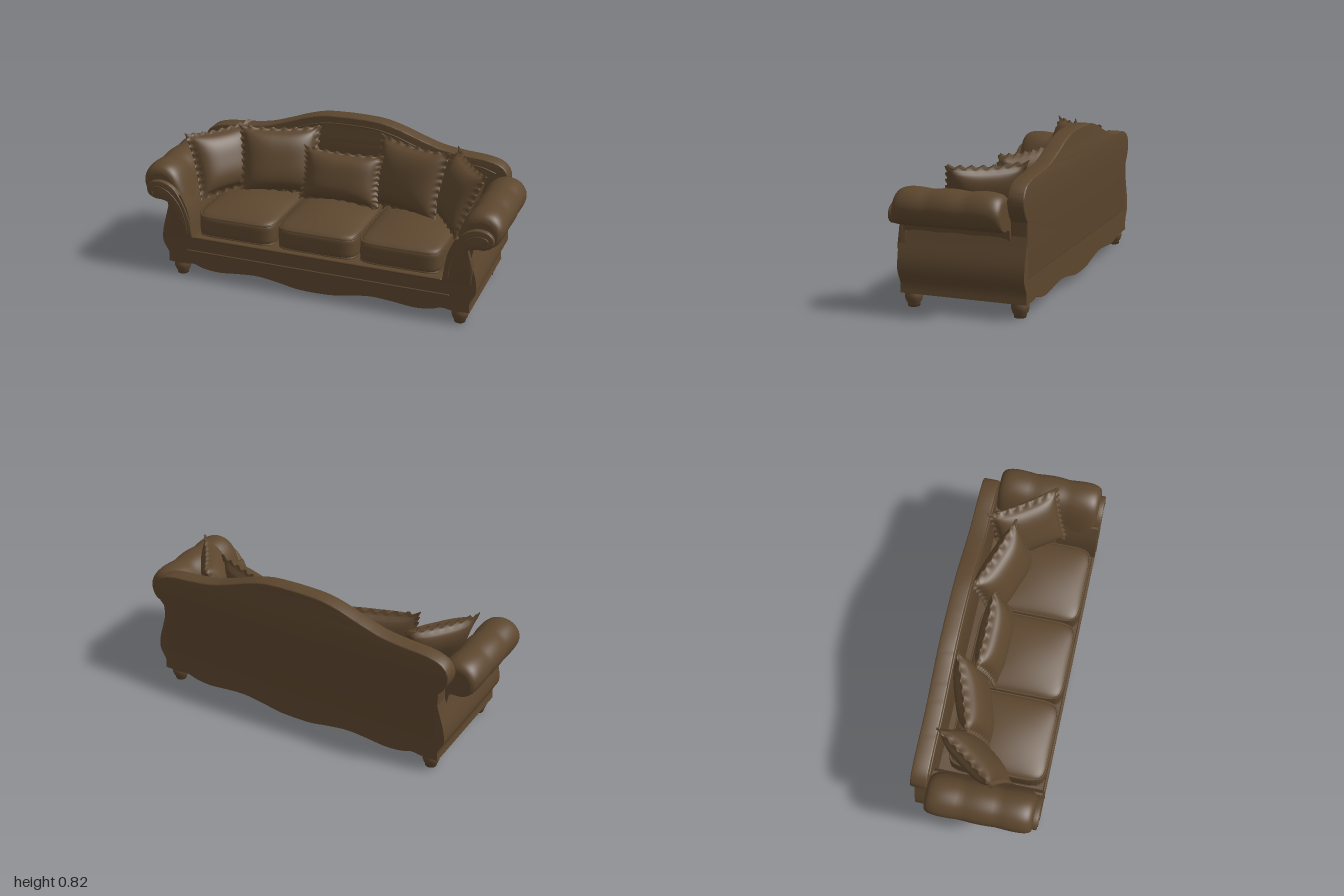
import * as THREE from 'three';
import { mergeVertices, toCreasedNormals } from 'three/addons/utils/BufferGeometryUtils.js';

const V2 = (p) => new THREE.Vector2(p[0], p[1]);
const V3 = (p) => new THREE.Vector3(p[0], p[1], p[2]);
// Smooth line through a few points
const smooth = (pts, n = 24) => new THREE.SplineCurve(pts.map(V2)).getPoints(n);
// Closed outline from a right half (bottom centre to top centre), mirrored in x
function mirrored(half) {
  const other = half.map((p) => new THREE.Vector2(-p.x, p.y)).reverse();
  return tidy([...half, ...other]);
}
function tidy(pts) {
  return pts.filter((p, i) => p.distanceTo(pts[(i + 1) % pts.length]) > 1e-4);
}
function extrude(pts, z0, z1, bevel = 0, steps = 1) {
  const geo = new THREE.ExtrudeGeometry(new THREE.Shape(pts), {
    depth: z1 - z0 - 2 * bevel, steps, bevelEnabled: bevel > 0,
    bevelThickness: bevel, bevelSize: bevel, bevelOffset: -bevel, bevelSegments: 3,
  });
  return geo.translate(0, 0, z0 + bevel);
}
function weld(geo) {
  geo.deleteAttribute('uv');
  geo.deleteAttribute('normal');
  const g = mergeVertices(geo, 1e-5);
  g.computeVertexNormals();
  return g;
}
function moveVertices(geo, rule) {
  const pos = geo.attributes.position;
  for (let i = 0; i < pos.count; i++) {
    pos.setXYZ(i, ...rule(pos.getX(i), pos.getY(i), pos.getZ(i)));
  }
  return geo;
}

// Plump seat cushion: a squared-off ellipsoid with a crowned top
function cushionGeometry(w, h, d, crown) {
  const geo = new THREE.BoxGeometry(2, 2, 2, 24, 14, 24);
  moveVertices(geo, (x, y, z) => {
    const n = 7, m = Math.max(Math.abs(x), Math.abs(y), Math.abs(z));
    const k = m / (Math.abs(x) ** n + Math.abs(y) ** n + Math.abs(z) ** n) ** (1 / n);
    x *= k; y *= k; z *= k;
    const lift = y > 0 ? crown * y * (1 - x * x) * (1 - z * z) : 0;
    return [x * w / 2, y * h / 2 + lift, z * d / 2];
  });
  return weld(geo);
}
// Cord around a cushion
function cordGeometry(w, d, y) {
  const pts = [];
  for (let i = 0; i < 48; i++) {
    const a = i / 48 * Math.PI * 2, c = Math.cos(a), s = Math.sin(a);
    const k = (c ** 8 + s ** 8) ** (-1 / 8);
    pts.push(V3([c * k * w / 2, y, s * k * d / 2]));
  }
  return new THREE.TubeGeometry(new THREE.CatmullRomCurve3(pts, true), 96, 0.006, 6, true);
}
// Throw pillow: pinched sides, pointed corners and a thin ruffled flange
function pillowGeometry(w, h, t) {
  const geo = new THREE.BoxGeometry(2, 2, 2, 40, 40, 1);
  moveVertices(geo, (u, v, side) => {
    const a = Math.min(1, Math.abs(u) / 0.91), b = Math.min(1, Math.abs(v) / 0.91);
    const puff = 0.003 + t / 2 * Math.sqrt((1 - a ** 3) * (1 - b ** 3));
    const edge = Math.max(Math.abs(u), Math.abs(v)) > 0.94 ? 1 : 0;
    const ruffle = edge * 0.006 * Math.sin(u * 23 + v * 31);
    const x = u * (w / 2 * (1 - 0.07 * (1 - v * v)) + ruffle);
    const y = v * (h / 2 * (1 - 0.09 * (1 - u * u)) + ruffle);
    return [x, y, side * puff + ruffle];
  });
  return weld(geo);
}

export function createModel() {
  const sofa = new THREE.Group();
  sofa.name = 'sofa';
  const fabric = new THREE.MeshStandardMaterial({ color: 0x5c462e });
  fabric.name = 'brown upholstery';
  const add = (name, geo, x = 0, y = 0, z = 0) => {
    const mesh = new THREE.Mesh(geo, fabric);
    mesh.name = name;
    mesh.position.set(x, y, z);
    sofa.add(mesh);
    return mesh;
  };
  const crease = (geo) => toCreasedNormals(geo, 0.6);

  // Scalloped apron and bowed sides, shared by frame and back
  const apron = smooth([[0, 0.036], [0.1, 0.04], [0.2, 0.058], [0.32, 0.074], [0.43, 0.068],
    [0.55, 0.056], [0.64, 0.064], [0.7, 0.082], [0.76, 0.076], [0.85, 0.078]], 40);
  const flank = smooth([[0.85, 0.078], [0.847, 0.13], [0.87, 0.175], [0.88, 0.21],
    [0.872, 0.28], [0.845, 0.37], [0.828, 0.44], [0.835, 0.48]], 24);

  // Frame: base with both arm sides
  const inner = smooth([[0.76, 0.48], [0.72, 0.38], [0.7, 0.24]], 8);
  add('frame', crease(extrude(mirrored([...apron, ...flank, ...inner, V2([0, 0.24])]), -0.335, 0.328)));
  add('apronWelt', new THREE.CapsuleGeometry(0.005, 1.47, 4, 8).rotateZ(Math.PI / 2), 0, 0.16, 0.328);
  add('frontRailWelt', new THREE.CapsuleGeometry(0.007, 1.38, 4, 8).rotateZ(Math.PI / 2), 0, 0.241, 0.325);

  // Camel back
  const crest = [[0.835, 0.48], [0.86, 0.51], [0.882, 0.56], [0.878, 0.61], [0.84, 0.655], [0.76, 0.68],
    [0.62, 0.692], [0.5, 0.71], [0.38, 0.748], [0.26, 0.79], [0.15, 0.814], [0, 0.82]];
  add('back', crease(extrude(mirrored([V2([0, 0.2]), V2([0.83, 0.2]), ...smooth(crest, 60)]),
    -0.336, -0.25, 0.006)));
  const weltHalf = crest.slice(4).map(([x, y]) => [x * 0.97, y - 0.045, -0.25]);
  const weltPath = [...weltHalf, ...weltHalf.slice(0, -1).reverse().map(([x, y, z]) => [-x, y, z])];
  add('backWelt', new THREE.TubeGeometry(new THREE.CatmullRomCurve3(weltPath.map(V3)), 80, 0.005, 6));

  for (const side of [1, -1]) {
    const label = side > 0 ? 'left' : 'right';
    const flip = (pts) => pts.map((p) => new THREE.Vector2(p.x * side, p.y));

    // Rolled arm with three soft bulges along its length
    const section = smooth([[0.7, 0.24], [0.715, 0.34], [0.752, 0.47], [0.79, 0.565], [0.835, 0.612],
      [0.893, 0.627], [0.95, 0.612], [0.988, 0.57], [0.996, 0.52], [0.972, 0.466], [0.925, 0.442],
      [0.87, 0.44], [0.84, 0.43]], 48);
    const arm = extrude(flip([...section, V2([0.82, 0.24])]), 0, 1, 0, 36);
    moveVertices(arm, (x, y, k) => {
      const e = -Math.cos(Math.PI * k);
      const z = 0.03 + 0.28 * e;
      const bulge = 0.965 + 0.045 * Math.abs(Math.sin(Math.PI * (z + 0.25) / 0.19));
      const s = bulge * (0.74 + 0.26 * Math.sqrt(Math.max(0, 1 - e ** 12)));
      const cx = 0.885 * side;
      return y < 0.4 ? [x, y, z] : [cx + (x - cx) * s, 0.45 + (y - 0.45) * s, z];
    });
    add(label + 'Arm', toCreasedNormals(arm, 0.8));

    // Scroll panel on the arm front
    const scroll = smooth([[0.7, 0.24], [0.715, 0.34], [0.752, 0.44], [0.8, 0.515], [0.86, 0.545],
      [0.92, 0.542], [0.955, 0.51], [0.952, 0.468], [0.915, 0.445], [0.87, 0.442], [0.83, 0.43]], 40);
    add(label + 'ArmScroll', crease(extrude(flip([...scroll, V2([0.86, 0.32]), V2([0.85, 0.24])]),
      0.29, 0.335, 0.004)));
    const trim = [[0.73, 0.26], [0.74, 0.34], [0.775, 0.43], [0.83, 0.492], [0.885, 0.512],
      [0.928, 0.498], [0.925, 0.465]].map(([x, y]) => V3([x * side, y, 0.334]));
    add(label + 'ScrollTrim', new THREE.TubeGeometry(new THREE.CatmullRomCurve3(trim), 40, 0.004, 6));

    // Turned feet
    const profile = [[0, 0], [0.03, 0], [0.033, 0.02], [0.038, 0.024], [0.045, 0.045],
      [0.046, 0.062], [0.04, 0.078], [0.036, 0.1]].map(V2);
    for (const z of [0.282, -0.282]) {
      add(label + (z > 0 ? 'FrontFoot' : 'BackFoot'), new THREE.LatheGeometry(profile, 20), 0.79 * side, 0, z);
    }
  }

  // Seat cushions with cords
  const seat = cushionGeometry(0.452, 0.142, 0.53, 0.038);
  const cord = cordGeometry(0.44, 0.517, 0);
  ['right', 'middle', 'left'].forEach((label, i) => {
    const x = (i - 1) * 0.458;
    add(label + 'SeatCushion', seat, x, 0.315, 0.058);
    add(label + 'SeatTopCord', cord, x, 0.37, 0.058);
    add(label + 'SeatBottomCord', cord, x, 0.262, 0.058);
  });

  // Throw pillows fanned around the seat
  const placePillow = (name, geo, pos, pitch, yaw) => {
    add(name, geo, ...pos).rotation.set(pitch, yaw, 0, 'YXZ');
  };
  placePillow('middlePillow', pillowGeometry(0.46, 0.29, 0.13), [0, 0.533, -0.09], -0.35, 0);
  const large = pillowGeometry(0.45, 0.385, 0.15);
  const outer = pillowGeometry(0.41, 0.37, 0.14);
  for (const side of [1, -1]) {
    const label = side > 0 ? 'left' : 'right';
    placePillow(label + 'InnerPillow', large, [0.37 * side, 0.57, -0.12], -0.32, -0.33 * side);
    placePillow(label + 'OuterPillow', outer, [0.665 * side, 0.56, -0.045], -0.42, -0.95 * side);
  }
  return sofa;
}
